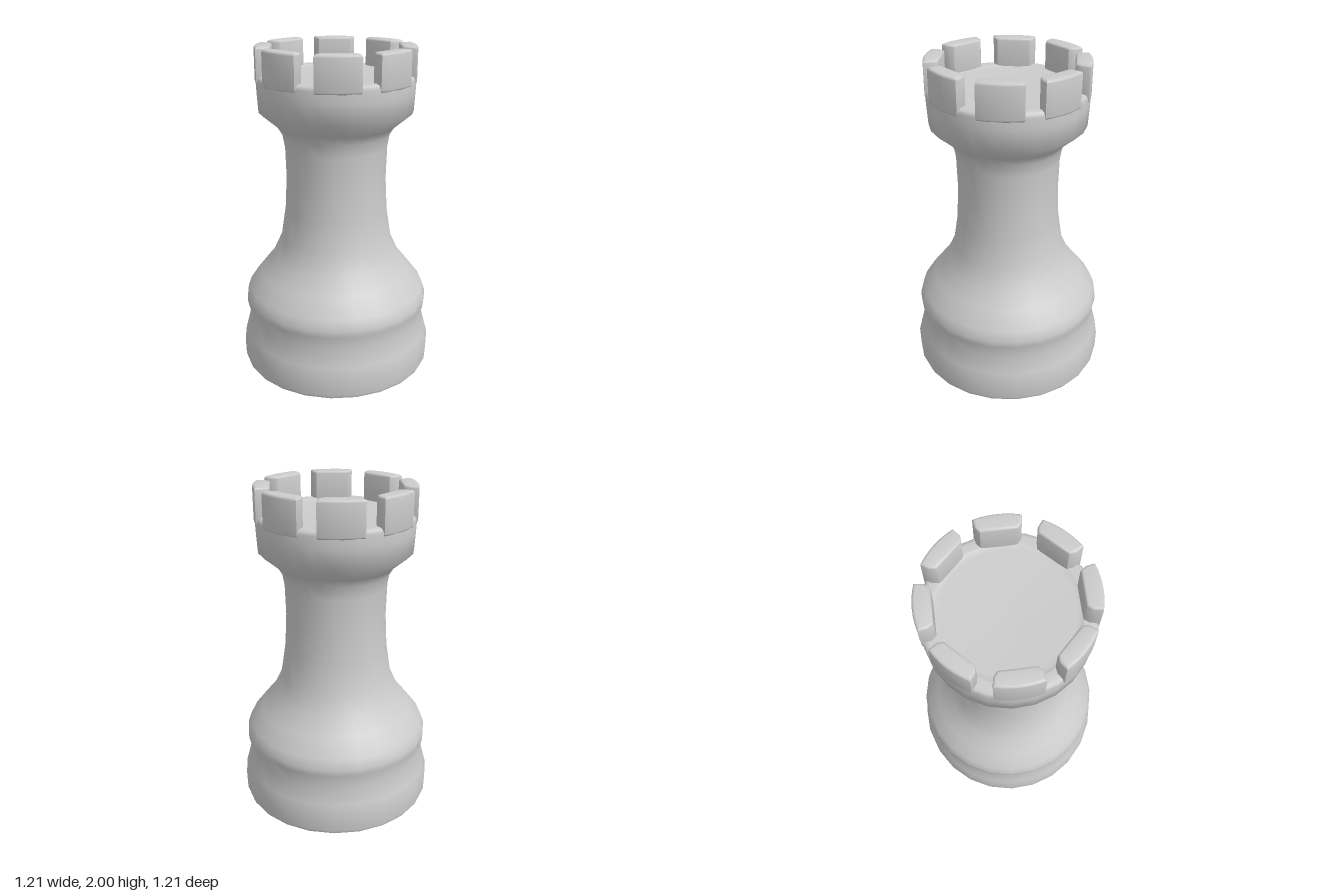
import * as THREE from 'three';
import { toCreasedNormals } from 'three/addons/utils/BufferGeometryUtils.js';

const SIDES = 24;
const MERLONS = 8;

function lathe(name, profile, material) {
  const points = profile.map(([r, y]) => new THREE.Vector2(r, y));
  const mesh = new THREE.Mesh(new THREE.LatheGeometry(points, SIDES), material);
  mesh.name = name;
  return mesh;
}

// Plan of one battlement: curved outside, straight inside, clipped inner corners
function merlonGeometry() {
  const half = THREE.MathUtils.degToRad(15.8);
  const outer = 0.474, bevel = 0.014, base = 1.79, top = 2;
  const shape = new THREE.Shape();
  shape.moveTo(0.376, -0.098);
  shape.lineTo(0.405, -0.122);
  for (let i = 0; i <= 6; i++) {
    const a = -half + (i / 6) * 2 * half;
    shape.lineTo(outer * Math.cos(a), outer * Math.sin(a));
  }
  shape.lineTo(0.405, 0.122);
  shape.lineTo(0.376, 0.098);
  shape.closePath();
  const geometry = new THREE.ExtrudeGeometry(shape, {
    depth: top - base - 2 * bevel,
    bevelEnabled: true,
    bevelSize: bevel,
    bevelThickness: bevel,
    bevelOffset: -bevel,
    bevelSegments: 3,
  });
  geometry.rotateX(-Math.PI / 2);
  geometry.translate(0, base + bevel, 0);
  return toCreasedNormals(geometry, 0.7);
}

export function createModel() {
  const group = new THREE.Group();
  group.name = 'rook';
  const material = new THREE.MeshStandardMaterial({ color: 0xcccccc });

  // Foot, waisted stem and flared head in one turned surface
  group.add(lathe('body', [
    [0.593, 0], [0.601, 0.02], [0.604, 0.13], [0.585, 0.2], [0.556, 0.31],
    [0.576, 0.4], [0.576, 0.44], [0.555, 0.5], [0.478, 0.6], [0.405, 0.69],
    [0.345, 0.82], [0.317, 1.0], [0.306, 1.2], [0.311, 1.4], [0.325, 1.48],
    [0.355, 1.53], [0.462, 1.62], [0.469, 1.74], [0.472, 1.81],
    [0.462, 1.83], [0.44, 1.838], [0.395, 1.835],
  ], material));

  // Shallow floor inside the battlements
  group.add(lathe('headFloor', [[0.395, 1.835], [0.36, 1.822], [0, 1.815]], material));

  // Flat underside
  const underside = new THREE.Mesh(new THREE.CircleGeometry(0.593, SIDES), material);
  underside.rotation.x = Math.PI / 2;
  underside.name = 'underside';
  group.add(underside);

  // Ring of battlements
  const battlements = new THREE.Group();
  battlements.name = 'battlements';
  const geometry = merlonGeometry();
  for (let i = 0; i < MERLONS; i++) {
    const merlon = new THREE.Mesh(geometry, material);
    merlon.rotation.y = -THREE.MathUtils.degToRad(10.5) + (i / MERLONS) * Math.PI * 2;
    merlon.name = 'merlon' + (i + 1);
    battlements.add(merlon);
  }
  group.add(battlements);

  return group;
}
